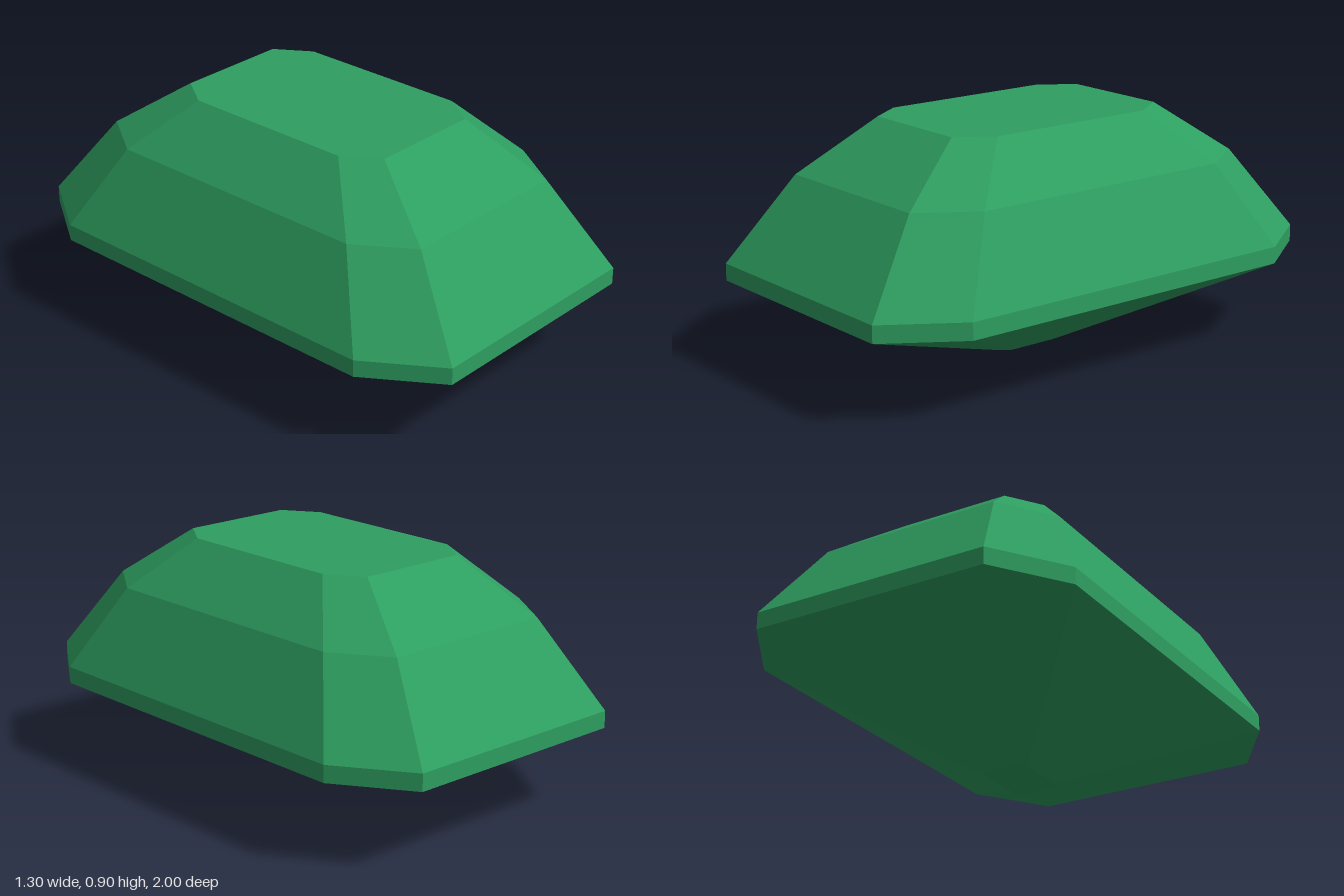
import * as THREE from 'three';

// Girdle outline: a rectangle with cut corners, as [x, z]
const X = 0.65, Z = 1, CX = 0.465, CZ = 0.72;
const OUTLINE = [[X, -CZ], [X, CZ], [CX, Z], [-CX, Z], [-X, CZ], [-X, -CZ], [-CX, -Z], [CX, -Z]];

// Facets between successive [height, scale] levels, with optional flat caps
function facetedBand(name, levels, material, { top = false, bottom = false } = {}) {
  const n = OUTLINE.length;
  const positions = [], indices = [];
  for (const [y, s] of levels) {
    for (const [x, z] of OUTLINE) positions.push(x * s, y, z * s);
  }
  for (let level = 0; level < levels.length - 1; level++) {
    for (let i = 0; i < n; i++) {
      const a = level * n + i, b = level * n + (i + 1) % n;
      indices.push(a, a + n, b + n, a, b + n, b);
    }
  }
  const last = (levels.length - 1) * n;
  for (let i = 1; i < n - 1; i++) {
    if (top) indices.push(last, last + i + 1, last + i);
    if (bottom) indices.push(0, i, i + 1);
  }
  const indexed = new THREE.BufferGeometry();
  indexed.setAttribute('position', new THREE.Float32BufferAttribute(positions, 3));
  indexed.setIndex(indices);
  const geometry = indexed.toNonIndexed();
  geometry.computeVertexNormals();
  const mesh = new THREE.Mesh(geometry, material);
  mesh.name = name;
  return mesh;
}

export function createModel() {
  const group = new THREE.Group();
  group.name = 'emeraldCutGem';
  const material = new THREE.MeshStandardMaterial({ color: 0x2e9e60, flatShading: true });
  group.add(
    // Lower cone of facets ending in a small flat base
    facetedBand('pavilion', [[0, 0.14], [0.315, 1]], material, { bottom: true }),
    // Thin upright rim
    facetedBand('girdle', [[0.315, 1], [0.38, 1]], material),
    // Two stepped rows of facets and the flat table
    facetedBand('crown', [[0.38, 1], [0.7, 0.76], [0.9, 0.48]], material, { top: true }),
  );
  return group;
}
